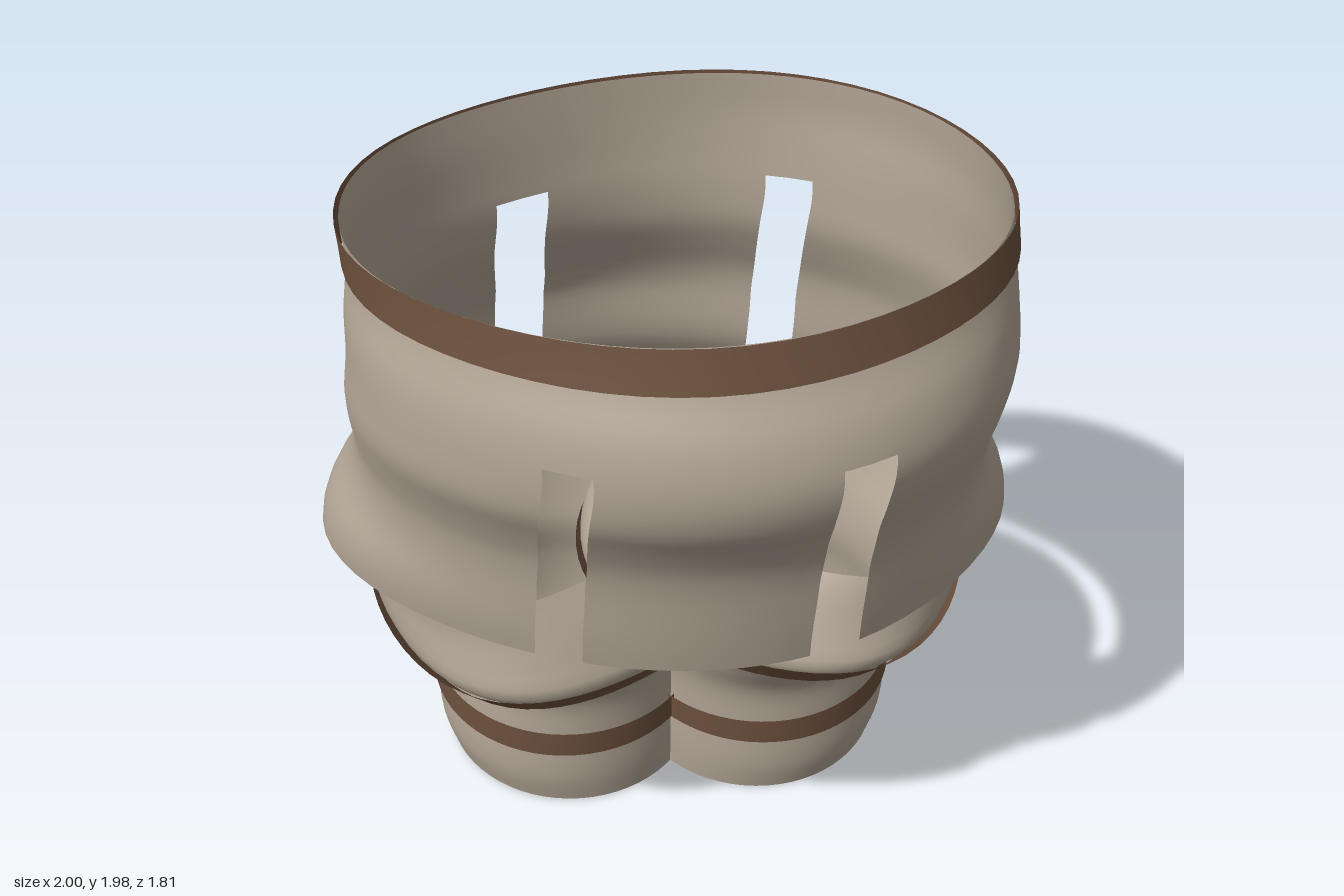
import * as THREE from 'three';

const fabric = new THREE.MeshStandardMaterial({ color: 0xb2a595, side: THREE.DoubleSide });
fabric.name = 'tan fabric';
const trim = new THREE.MeshStandardMaterial({ color: 0x6c503d, side: THREE.DoubleSide });
trim.name = 'brown trim';

// Cross-sections: y, min x, max x, front z, back z,
// front skew towards +x, back skew towards +x, front corner pinch
const SKIRT = [
  [0.94, -1, 1, 0.71, -0.9, 0.06, -0.02, 0], [1.0, -0.99, 0.99, 0.72, -0.87, 0.06, -0.03, 0],
  [1.07, -0.965, 0.97, 0.73, -0.855, 0.06, -0.04, 0], [1.15, -0.915, 0.93, 0.74, -0.85, 0.06, -0.04, 0],
  [1.22, -0.89, 0.91, 0.75, -0.845, 0.06, -0.03, 0], [1.3, -0.88, 0.91, 0.77, -0.82, 0.06, 0, 0],
  [1.4, -0.885, 0.915, 0.82, -0.77, 0.06, 0.02, 0.02], [1.5, -0.885, 0.92, 0.88, -0.725, 0.06, 0.04, 0.04],
  [1.62, -0.87, 0.93, 0.905, -0.71, 0.06, 0.06, 0.06], [1.75, -0.865, 0.92, 0.88, -0.715, 0.04, 0.08, 0.08],
  [1.87, -0.85, 0.91, 0.815, -0.72, 0, 0.09, 0.1], [1.98, -0.86, 0.9, 0.775, -0.72, 0, 0.09, 0.1],
];
const LEG = [
  [0.025, -0.1, 0.68, 0.18, -0.65, 0, 0, 0], [0.12, -0.1, 0.705, 0.2, -0.66, 0, 0, 0],
  [0.3, -0.1, 0.7, 0.205, -0.65, 0, 0, 0], [0.45, -0.1, 0.685, 0.22, -0.62, 0, 0, 0],
  [0.55, -0.11, 0.7, 0.28, -0.63, 0.03, 0, 0], [0.63, -0.14, 0.735, 0.34, -0.64, 0.08, 0, 0],
  [0.7, -0.19, 0.79, 0.43, -0.645, 0.13, 0, 0], [0.79, -0.25, 0.855, 0.5, -0.645, 0.16, 0, 0],
  [0.85, -0.25, 0.875, 0.48, -0.645, 0.16, 0.03, 0], [0.93, -0.2, 0.88, 0.45, -0.64, 0.15, 0.06, 0],
  [1.04, 0.02, 0.86, 0.42, -0.48, 0.12, 0.08, 0],
];

const steps = (a, b, n) => Array.from({ length: n + 1 }, (_, i) => a + (b - a) * i / n);
const ROUND = steps(0, Math.PI * 2, 64).slice(0, -1);

// Smoothly interpolated section at any height
function sampler(table) {
  const f = new THREE.CubicInterpolant(table.map(r => r[0]), table.flatMap(r => r.slice(1)), 7);
  return y => Array.from(f.evaluate(y));
}

// Lofted open tube; isHole(column, y) leaves cells out
function loft(section, ys, angles, { inner, tilt = 0, grow = 0, isHole = () => false } = {}) {
  const pos = [], idx = [], n = angles.length;
  for (const y of ys) {
    const [x0, x1, zf, zb, skewF, skewB, pinch] = section(y);
    const hw = (x1 - x0) / 2 + grow, hd = (zf - zb) / 2 + grow, core = inner ?? hw;
    for (const a of angles) {
      const c = Math.cos(a), s = Math.sin(a);
      const shape = s > 0 ? skewF * c - pinch * c * c : -skewB * c;
      const z = (zf + zb) / 2 + hd * s + shape * s * s;
      // Flare affects the sides most, so slot edges stay straight
      pos.push((x0 + x1) / 2 + c * (core + (hw - core) * c ** 4), y - tilt * (z + 0.22), z);
    }
  }
  for (let i = 0; i < ys.length - 1; i++) {
    for (let j = 0; j < n; j++) {
      if (isHole(j, ys[i])) continue;
      const k = (j + 1) % n, a = i * n + j, b = i * n + k;
      idx.push(a, a + n, b, b, a + n, b + n);
    }
  }
  const g = new THREE.BufferGeometry();
  g.setAttribute('position', new THREE.Float32BufferAttribute(pos, 3));
  g.setIndex(idx);
  g.computeVertexNormals();
  return g;
}

function add(parent, name, geometry, material) {
  const m = new THREE.Mesh(geometry, material);
  m.name = name;
  parent.add(m);
}

export function createModel() {
  const model = new THREE.Group();
  model.name = 'legArmour';

  // Skirt columns: side, slot, front panel, slot, side, slot, back panel, slot
  const T = Math.PI * 2, ac = Math.acos;
  const breaks = [-ac(0.51), ac(0.5), ac(0.345), ac(-0.325), ac(-0.46),
    T - ac(-0.53), T - ac(-0.36), T - ac(0.362), T - ac(0.51)];
  const counts = [24, 2, 10, 2, 24, 2, 10, 2];
  const angles = [], slotColumn = [];
  counts.forEach((n, s) => {
    steps(breaks[s], breaks[s + 1], n).slice(0, -1).forEach(a => {
      angles.push(a);
      slotColumn.push(s % 2 === 1);
    });
  });
  const slotTop = 1.665;
  const skirtYs = [...steps(0.94, slotTop, 24), ...steps(slotTop, 1.98, 10).slice(1)];
  const skirt = sampler(SKIRT);
  add(model, 'slottedSkirt', loft(skirt, skirtYs, angles, {
    inner: 0.9, isHole: (j, y) => slotColumn[j] && y < slotTop - 0.001,
  }), fabric);
  add(model, 'waistband', loft(skirt, steps(1.875, 1.985, 2), ROUND, { grow: 0.013 }), trim);

  // Legs with a thigh band and a lower band; the right thigh sits further forward
  for (const side of [1, -1]) {
    const leg = new THREE.Group();
    leg.name = side > 0 ? 'leftLeg' : 'rightLeg';
    const section = sampler(side > 0 ? LEG
      : LEG.map(([y, a, b, f, k, sf, sb, p]) => [y, -b, -a, f + (y > 0.6 ? 0.04 : 0), k, -sf, -sb, p]));
    const tilt = 0.058;
    add(leg, 'legTube', loft(section, steps(0.025, 1.04, 36), ROUND, { tilt }), fabric);
    add(leg, 'thighBand', loft(section, [0.706, 0.793], ROUND, { tilt, grow: 0.018 }), trim);
    add(leg, 'lowerBand', loft(section, [0.241, 0.327], ROUND, { tilt, grow: 0.014 }), trim);
    model.add(leg);
  }
  return model;
}
